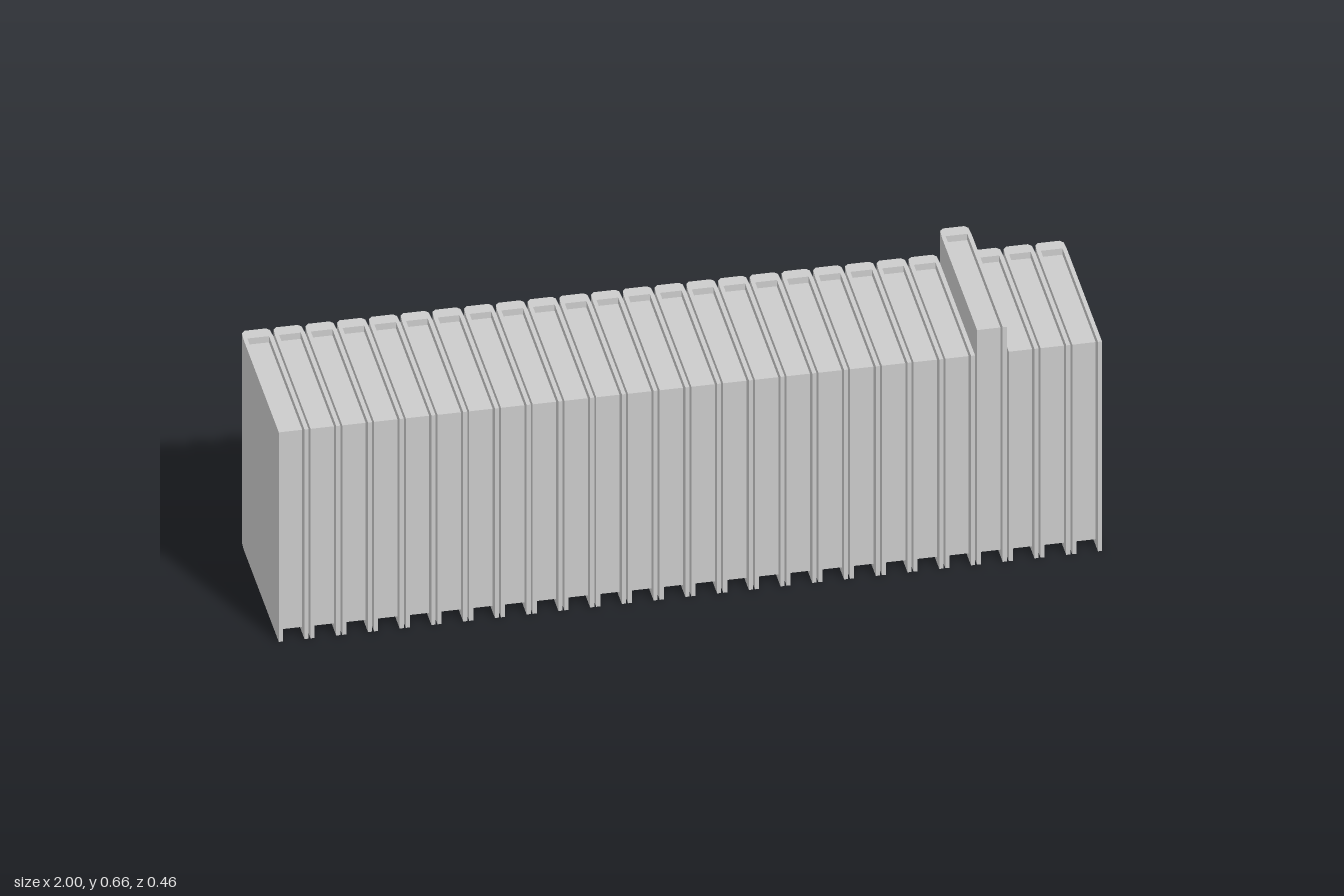
import * as THREE from 'three';

const COUNT = 26, TALL = 22;
const HALF = 0.0362;   // half thickness of one book
const BOARD = 0.01;    // cover board thickness
const PITCH = (2 - HALF * 2) / (COUNT - 1);

const material = new THREE.MeshStandardMaterial({ color: 0xcccccc, flatShading: true });

// U-shaped cover seen from above: two boards joined by a chamfered spine
function coverGeometry(height) {
  const side = [[HALF, 0.228], [HALF, -0.19], [HALF - 0.002, -0.219], [HALF - 0.01, -0.228]];
  const inner = HALF - BOARD;
  const points = [
    ...side,
    ...side.map(([x, z]) => [-x, z]).reverse(),
    [-inner, 0.228], [-inner, -0.193], [inner, -0.193], [inner, 0.228],
  ];
  const shape = new THREE.Shape(points.map(([x, z]) => new THREE.Vector2(x, -z)));
  const geometry = new THREE.ExtrudeGeometry(shape, { depth: height, bevelEnabled: false });
  return geometry.rotateX(-Math.PI / 2);
}

// One book: cover plus a page block recessed at top, bottom and fore-edge
function makeBook(height) {
  const book = new THREE.Group();
  const cover = new THREE.Mesh(coverGeometry(height), material);
  cover.name = 'cover';
  const pages = new THREE.Mesh(
    new THREE.BoxGeometry((HALF - BOARD) * 2 + 0.001, height - 0.035, 0.396), material);
  pages.name = 'pages';
  pages.position.set(0, height / 2, 0.003);
  book.add(cover, pages);
  return book;
}

export function createModel() {
  const row = new THREE.Group();
  row.name = 'bookRow';
  for (let i = 0; i < COUNT; i++) {
    const book = makeBook(i === TALL ? 0.663 : 0.592);
    book.name = i === TALL ? 'tallBook' : 'book';
    book.position.x = -1 + HALF + i * PITCH;
    row.add(book);
  }
  return row;
}
